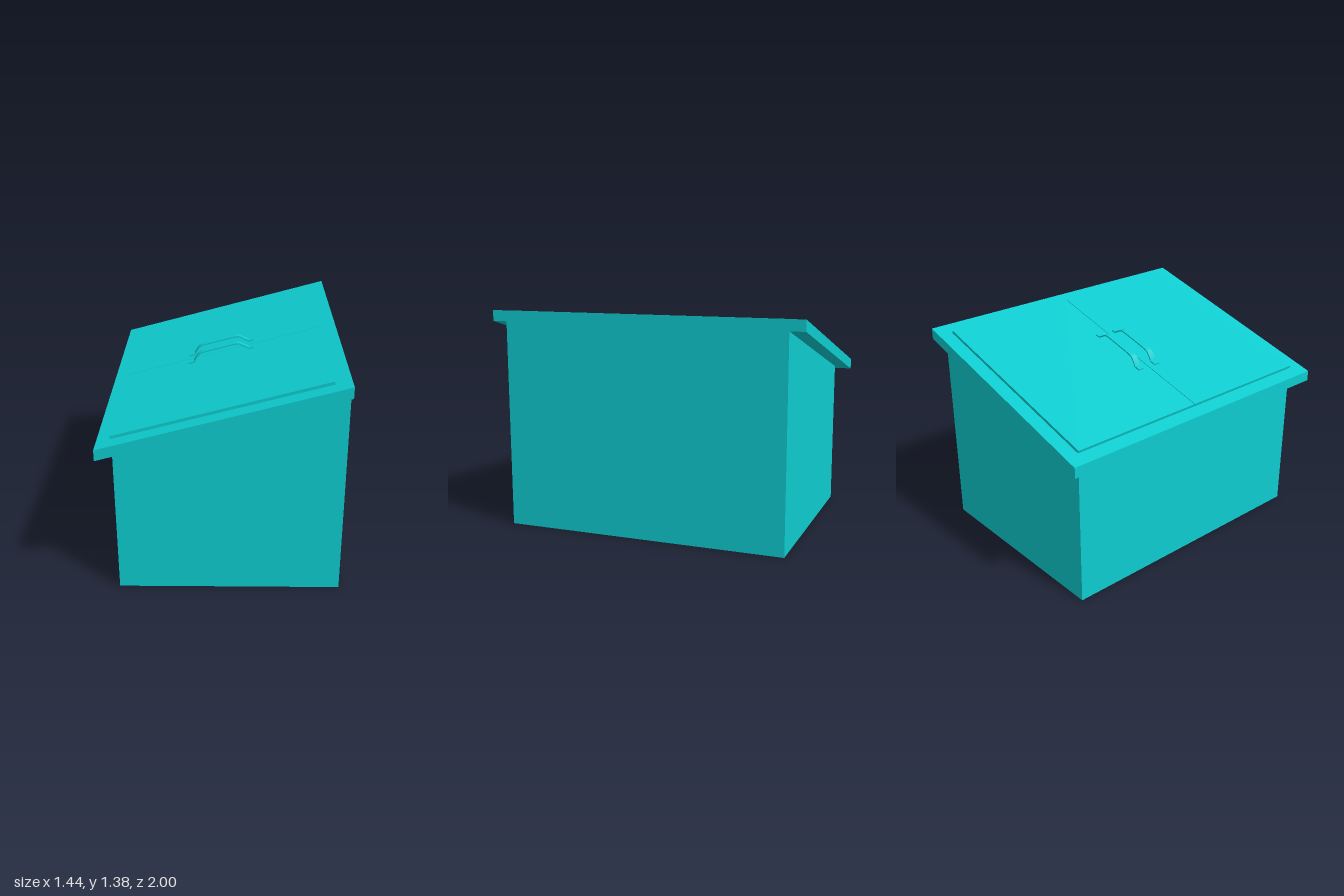
import * as THREE from 'three';
import { toCreasedNormals } from 'three/addons/utils/BufferGeometryUtils.js';

const SLOPE = 0.272;
const ANGLE = Math.atan(SLOPE);

// Extrude an x/y outline from z0 to z1
function slab(name, points, z0, z1, material, smooth = false) {
  const shape = new THREE.Shape(points.map(([x, y]) => new THREE.Vector2(x, y)));
  let geometry = new THREE.ExtrudeGeometry(shape, { depth: z1 - z0, bevelEnabled: false });
  geometry.translate(0, 0, z0);
  if (smooth) geometry = toCreasedNormals(geometry, 0.6);
  const mesh = new THREE.Mesh(geometry, material);
  mesh.name = name;
  return mesh;
}

// Closed outline of a strip of even thickness above a path
function stripOutline(path, thickness) {
  const upper = path.map((p, i) => {
    const a = path[Math.max(i - 1, 0)], b = path[Math.min(i + 1, path.length - 1)];
    const t = b.clone().sub(a).normalize();
    return [p.x - t.y * thickness, p.y + t.x * thickness];
  });
  return [...path.map(p => [p.x, p.y]), ...upper.reverse()];
}

export function createModel() {
  const group = new THREE.Group();
  const turquoise = new THREE.MeshStandardMaterial({ color: 0x0ecccf });
  turquoise.name = 'turquoise';

  const roofBottom = x => 0.925 + SLOPE * (x + 0.72);
  const roofTop = x => roofBottom(x) + 0.068;

  // Wedge-topped bin body
  group.add(slab('body', [
    [-0.63, 0], [0.72, 0], [0.72, roofBottom(0.72)], [-0.63, roofBottom(-0.63)],
  ], -0.905, 0.905, turquoise));

  // Overhanging sloped top
  group.add(slab('slopedTop', [
    [-0.72, roofBottom(-0.72)], [0.72, roofBottom(0.72)],
    [0.72, roofTop(0.72)], [-0.72, roofTop(-0.72)],
  ], -1, 1, turquoise));

  // Two lids, square-edged to the slope
  const t = 0.018, dx = -t * Math.sin(ANGLE), dy = t * Math.cos(ANGLE);
  const x0 = -0.636, x1 = 0.628;
  const lidOutline = [
    [x0, roofTop(x0)], [x1, roofTop(x1)],
    [x1 + dx, roofTop(x1) + dy], [x0 + dx, roofTop(x0) + dy],
  ];
  group.add(slab('backLid', lidOutline, -0.91, -0.007, turquoise));
  group.add(slab('frontLid', lidOutline, -0.003, 0.903, turquoise));

  // Bent strap handles with flat feet
  const lidTop = x => roofTop(x) + 0.0185;
  const curve = new THREE.SplineCurve([
    [-0.186, lidTop(-0.186)], [-0.166, 1.194], [-0.145, 1.216], [-0.11, 1.23],
    [-0.02, 1.255], [0.07, 1.279], [0.102, 1.282], [0.129, 1.27], [0.166, lidTop(0.166)],
  ].map(p => new THREE.Vector2(...p)));
  const path = [
    new THREE.Vector2(-0.226, lidTop(-0.226)),
    ...curve.getPoints(40),
    new THREE.Vector2(0.195, lidTop(0.195)),
  ];
  for (const [name, z] of [['backHandle', -0.073], ['frontHandle', 0.061]]) {
    group.add(slab(name, stripOutline(path, 0.008), z - 0.02, z + 0.02, turquoise, true));
  }
  return group;
}
